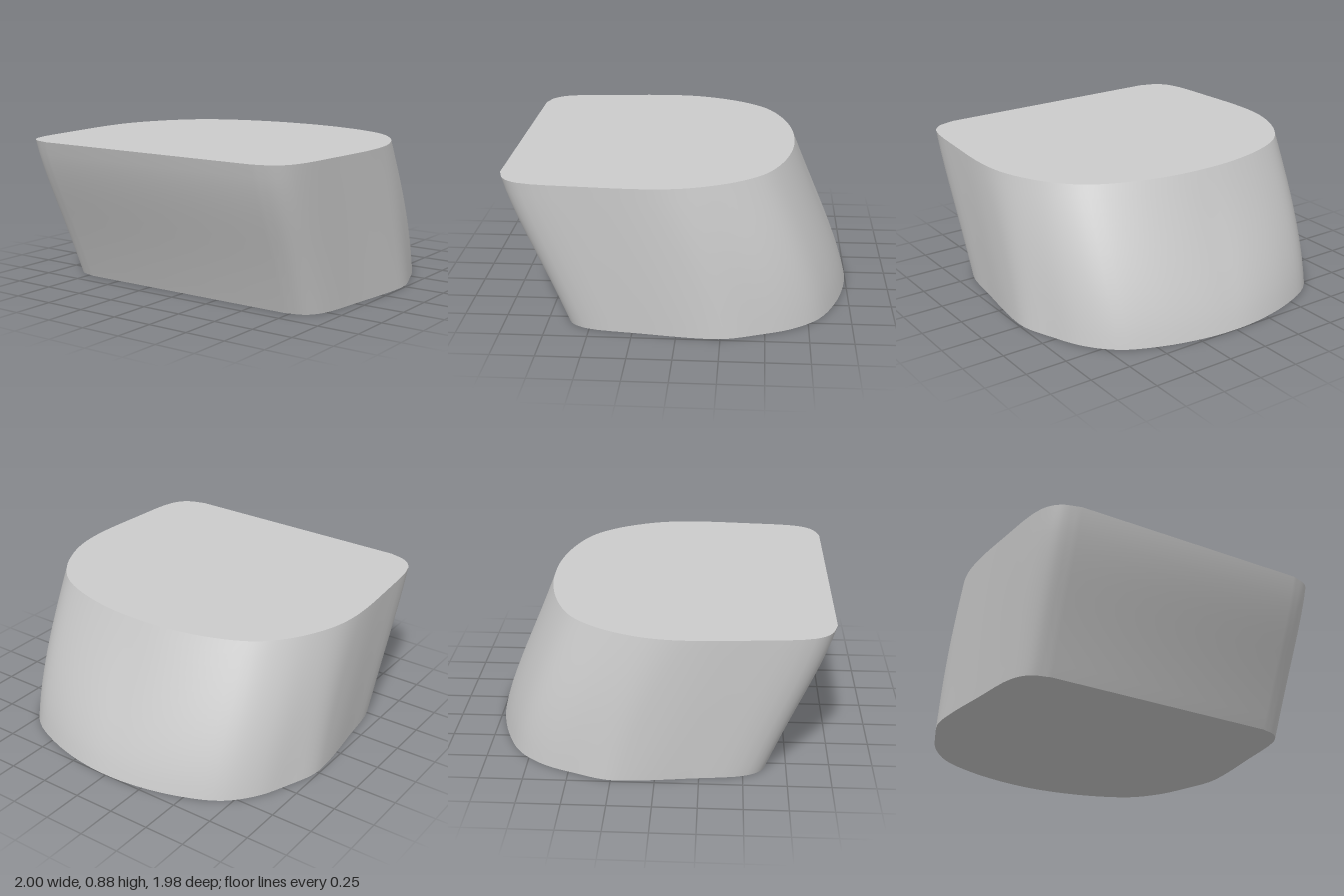
import * as THREE from 'three';
import { toCreasedNormals } from 'three/addons/utils/BufferGeometryUtils.js';

const HEIGHT = 0.88, LEVELS = 12, SAMPLES = 44;

// Half outlines [x, z] from the flat side's corner round to the tip of the curve.
const TOP = [[-1, 0.74], [-0.96, 0.855], [-0.87, 0.923], [-0.5, 0.968], [-0.15, 0.985],
  [0.04, 0.962], [0.21, 0.9], [0.36, 0.81], [0.49, 0.68], [0.585, 0.48], [0.645, 0.23], [0.66, 0]];
const BOTTOM = [[-0.645, 0.72], [-0.61, 0.83], [-0.52, 0.895], [-0.2, 0.945], [0.13, 0.985],
  [0.28, 0.982], [0.46, 0.92], [0.65, 0.835], [0.81, 0.695], [0.915, 0.48], [0.98, 0.23], [1, 0]];

// Smooth the half outline and mirror it across z = 0.
function outline(points) {
  const full = [...points, ...points.slice(0, -1).reverse().map(([x, z]) => [x, -z])];
  const curve = new THREE.CatmullRomCurve3(full.map(([x, z]) => new THREE.Vector3(x, 0, z)));
  return curve.getPoints(SAMPLES * 2);
}

// Leaning block lofted between the two outlines, with slightly bowed sides.
function loftGeometry() {
  const low = outline(BOTTOM), high = outline(TOP), n = low.length;
  const positions = [], index = [];
  for (let j = 0; j <= LEVELS; j++) {
    const t = j / LEVELS, middle = THREE.MathUtils.lerp(0.18, -0.17, t);
    for (let i = 0; i < n; i++) {
      const p = low[i].clone().lerp(high[i], t);
      const u = (p.x - middle) / 0.82, v = p.z / 0.985;
      // The flat side bows near the top, the round side near the bottom.
      const bow = 0.14 * t * (1 - t) * (u < 0 ? t * t : (1 - t) * (1 - t));
      // The rounded shoulders swell at mid height.
      const swell = 0.04 * Math.sin(Math.PI * t) * Math.max(u, 0) * Math.abs(v);
      positions.push(p.x + u * (bow + swell), t * HEIGHT, p.z + v * swell);
    }
  }
  // Side wall
  for (let j = 0; j < LEVELS; j++) {
    for (let i = 0; i < n; i++) {
      const k = (i + 1) % n;
      const a = j * n + i, b = j * n + k, c = b + n, d = a + n;
      index.push(a, b, c, a, c, d);
    }
  }
  // Flat bottom and top
  const centre = positions.length / 3, last = LEVELS * n;
  positions.push(0.18, 0, 0, -0.17, HEIGHT, 0);
  for (let i = 0; i < n; i++) {
    const k = (i + 1) % n;
    index.push(centre, k, i, centre + 1, last + i, last + k);
  }
  const geometry = new THREE.BufferGeometry();
  geometry.setAttribute('position', new THREE.Float32BufferAttribute(positions, 3));
  geometry.setIndex(index);
  return toCreasedNormals(geometry, 0.6);
}

export function createModel() {
  const group = new THREE.Group();
  group.name = 'leaningBlock';
  const body = new THREE.Mesh(loftGeometry(), new THREE.MeshStandardMaterial({ color: 0xcccccc }));
  body.name = 'body';
  group.add(body);
  return group;
}
